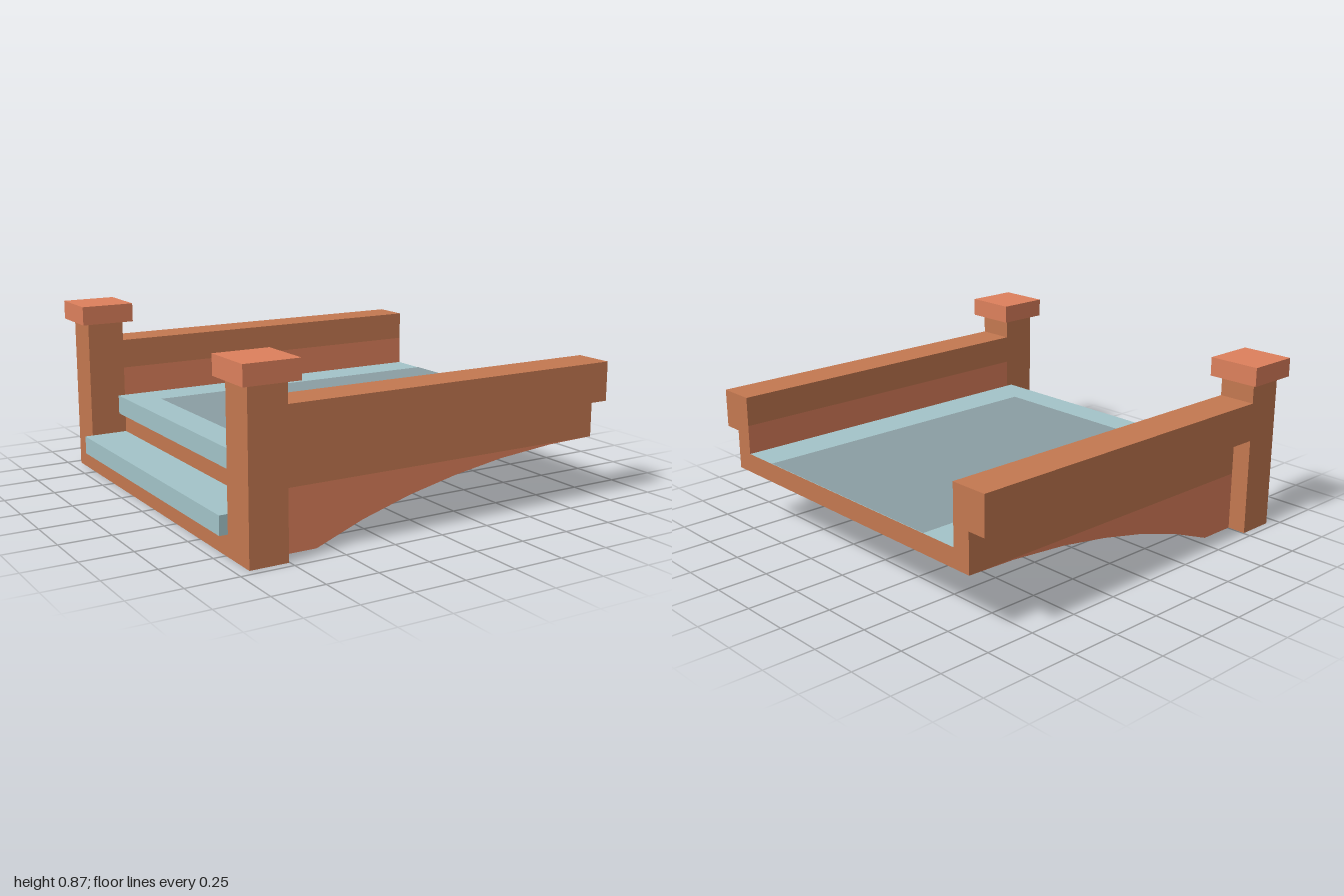
import * as THREE from 'three';

const mat = (color) => new THREE.MeshStandardMaterial({ color });

export function createModel() {
  const group = new THREE.Group();
  const brown = mat(0xc47850), orange = mat(0xdd805c), blue = mat(0xa3c4c9), grey = mat(0x8b9ea3);

  // Box given by its limits on each axis
  function box(name, [x0, x1], [y0, y1], [z0, z1], material) {
    const mesh = new THREE.Mesh(new THREE.BoxGeometry(x1 - x0, y1 - y0, z1 - z0), material);
    mesh.position.set((x0 + x1) / 2, (y0 + y1) / 2, (z0 + z1) / 2);
    mesh.name = name;
    group.add(mesh);
    return mesh;
  }

  // Half arch carrying the deck: orange spandrels, brown soffit
  const profile = [
    [-0.755, 0], [-0.565, 0], [-0.33, 0.09], [-0.08, 0.163], [0.17, 0.217],
    [0.43, 0.258], [0.73, 0.284], [0.98, 0.29], [-0.755, 0.29],
  ].map(([x, y]) => new THREE.Vector2(x, y));
  const archGeometry = new THREE.ExtrudeGeometry(new THREE.Shape(profile), { depth: 1.73, bevelEnabled: false });
  archGeometry.translate(0, 0, -0.865);
  const arch = new THREE.Mesh(archGeometry, [orange, brown]);
  arch.name = 'arch';
  group.add(arch);

  // Deck slab with a brown cut end, and its darker paving
  box('deck', [-0.79, 0.98], [0.29, 0.385], [-0.77, 0.77], [brown, blue, blue, blue, blue, blue]);
  const paving = new THREE.Mesh(new THREE.PlaneGeometry(1.615, 1.15), grey);
  paving.rotation.x = -Math.PI / 2;
  paving.position.set(0.1725, 0.387, 0);
  paving.name = 'paving';
  group.add(paving);

  // Entrance step on its riser
  box('stepRiser', [-0.94, -0.755], [0, 0.1], [-0.77, 0.77], brown);
  box('step', [-0.98, -0.755], [0.1, 0.19], [-0.77, 0.77], blue);

  // Parapets, posts and caps on both sides
  for (const s of [1, -1]) {
    const span = (a, b) => (s > 0 ? [a, b] : [-b, -a]);
    const lower = Array(6).fill(brown);
    lower[s > 0 ? 5 : 4] = orange; // inner face
    box('parapetBase', [-0.755, 0.98], [0.29, 0.53], span(0.77, 0.865), lower);
    box('parapetTop', [-0.755, 0.98], [0.53, 0.675], span(0.77, 0.865), brown);
    box('parapetLedge', [-0.755, 0.98], [0.485, 0.675], span(0.865, 0.96), brown);
    box('post', [-0.94, -0.755], [0, 0.775], span(0.77, 0.96), brown);
    box('postCap', [-0.98, -0.713], [0.775, 0.868], span(0.732, 1), orange);
  }
  return group;
}
